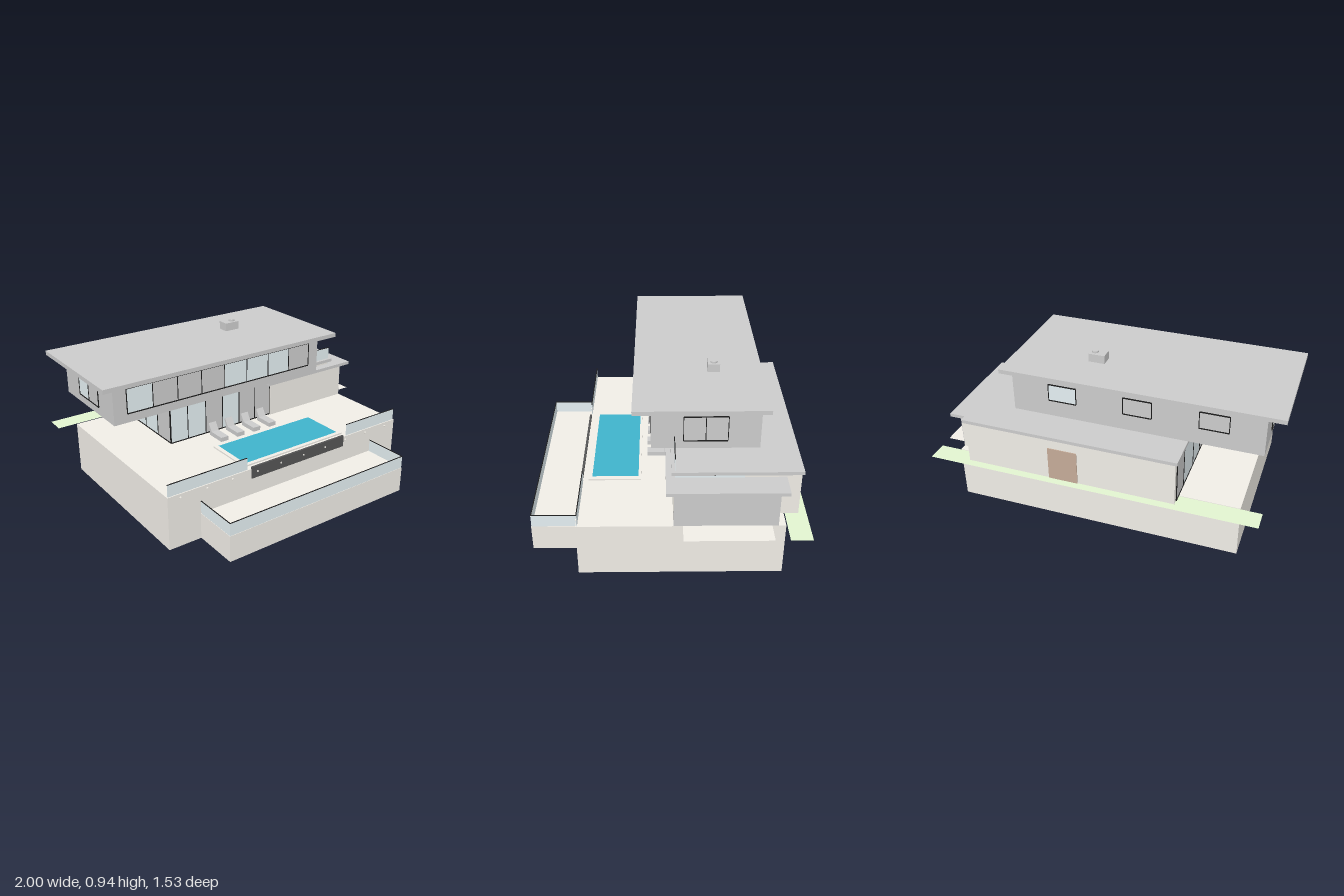
import * as THREE from 'three';

const mat = (color) => new THREE.MeshStandardMaterial({ color, side: THREE.DoubleSide });

export function createModel() {
  const house = new THREE.Group();
  house.name = 'house';
  const GREY = mat(0xcccccc), STONE = mat(0xf0ede6), DARK = mat(0x1c1c1c), CHARCOAL = mat(0x555555),
    GLASS = mat(0xe4eff2), GRASS = mat(0xe2f4cf), WATER = mat(0x3fb3cb), WOOD = mat(0xc4ab98);

  // Box given by its lower and upper limits on each axis
  function box(name, m, x0, x1, y0, y1, z0, z1, parent = house) {
    const g = new THREE.BoxGeometry(x1 - x0, y1 - y0, z1 - z0);
    const mesh = new THREE.Mesh(g, m);
    mesh.position.set((x0 + x1) / 2, (y0 + y1) / 2, (z0 + z1) / 2);
    mesh.name = name;
    parent.add(mesh);
    return mesh;
  }
  // Flat horizontal sheet
  function sheet(name, m, x0, x1, y, z0, z1) {
    const mesh = new THREE.Mesh(new THREE.PlaneGeometry(x1 - x0, z1 - z0).rotateX(-Math.PI / 2), m);
    mesh.position.set((x0 + x1) / 2, y, (z0 + z1) / 2);
    mesh.name = name;
    house.add(mesh);
  }
  // Drops whole faces of a box (order: +x -x +y -y +z -z)
  function openFaces(mesh, faces) {
    const idx = Array.from(mesh.geometry.index.array);
    mesh.geometry.setIndex(idx.filter((_, i) => !faces.includes(Math.floor(i / 6))));
  }

  // Row of panes with dark frames, built in the xy plane facing +z, from x = 0
  function windowRow(name, widths, height, panes) {
    const g = new THREE.Group();
    g.name = name;
    const t = 0.004, total = widths.reduce((a, b) => a + b, 0);
    let x = 0;
    widths.forEach((w, i) => {
      box('pane', panes[i] ? GLASS : GREY, x, x + w, 0, height, 0, 0.002, g);
      box('mullion', DARK, x - t / 2, x + t / 2, 0, height, 0, 0.005, g);
      x += w;
    });
    box('endFrame', DARK, total - t / 2, total + t / 2, 0, height, 0, 0.005, g);
    box('sill', DARK, 0, total, -t, t / 2, 0, 0.005, g);
    box('head', DARK, 0, total, height - t / 2, height + t, 0, 0.005, g);
    house.add(g);
    return g;
  }
  // Glass balustrade with a slim rail
  function balustrade(x0, x1, y0, y1, z0, z1) {
    const g = new THREE.Group();
    g.name = 'balustrade';
    box('glassPanel', GLASS, x0, x1, y0, y1, z0, z1, g);
    box('rail', DARK, x0 - 0.001, x1 + 0.001, y1, y1 + 0.003, z0 - 0.001, z1 + 0.001, g);
    house.add(g);
  }

  // Hollow podium and lower terrace, open underneath
  openFaces(box('podium', STONE, -0.82, 0.875, 0, 0.325, -0.645, 0.485), [3]);
  openFaces(box('lowerTerrace', STONE, -0.615, 0.67, 0, 0.16, 0.485, 0.765), [3, 5]);
  sheet('lawn', GRASS, -0.94, 1, 0.326, -0.77, -0.65);
  sheet('driveway', STONE, 0.79, 1, 0.327, -0.57, -0.09);

  // Balustrades
  balustrade(-0.815, -0.295, 0.325, 0.397, 0.476, 0.479);
  balustrade(0.46, 0.87, 0.325, 0.397, 0.476, 0.479);
  balustrade(-0.613, 0.668, 0.16, 0.235, 0.76, 0.763);
  for (const x of [-0.613, 0.665]) balustrade(x, x + 0.003, 0.16, 0.235, 0.487, 0.763);
  balustrade(0.555, 0.77, 0.61, 0.684, -0.052, -0.049);

  // Pool: rim, water and dark overflow wall
  box('poolRim', STONE, -0.295, 0.455, 0.325, 0.334, 0.14, 0.447);
  sheet('poolWater', WATER, -0.27, 0.43, 0.336, 0.155, 0.425);
  box('poolFront', CHARCOAL, -0.27, 0.43, 0.265, 0.337, 0.478, 0.491);

  // Small lamps along the podium wall
  for (let i = 0; i < 10; i++) {
    const lamp = new THREE.Mesh(new THREE.CylinderGeometry(0.006, 0.006, 0.01, 10).rotateX(Math.PI / 2), STONE);
    lamp.position.set(-0.74 + i * 0.17, 0.303, 0.489);
    lamp.name = 'wallLamp';
    house.add(lamp);
  }

  // Sun loungers with a raised back
  for (let i = 0; i < 4; i++) {
    const x = -0.19 + i * 0.122;
    const s = new THREE.Shape([[0.105, 0.325], [0.105, 0.352], [0.0, 0.352], [-0.03, 0.4], [-0.04, 0.395],
      [-0.02, 0.352], [-0.02, 0.325]].map(([z, y]) => new THREE.Vector2(-z, y)));
    const geo = new THREE.ExtrudeGeometry(s, { depth: 0.052, bevelEnabled: false });
    const lounger = new THREE.Mesh(geo.rotateY(Math.PI / 2), GREY);
    lounger.position.x = x - 0.026;
    lounger.name = 'lounger';
    house.add(lounger);
  }

  // Ground floor with its slab roof
  box('groundFloor', STONE, -0.473, 0.77, 0.325, 0.59, -0.725, -0.052);
  box('groundFloorRoof', GREY, -0.485, 0.785, 0.59, 0.61, -0.735, -0.03);
  windowRow('frontSlidingDoors', [0.12, 0.13, 0.125, 0.125, 0.125, 0.12], 0.252, [1, 1, 0, 1, 0, 0])
    .position.set(-0.475, 0.33, -0.052);
  const side = windowRow('sideSlidingDoors', [0.14, 0.2, 0.15, 0.15], 0.252, [0, 1, 1, 0]);
  side.rotation.y = -Math.PI / 2;
  side.position.set(-0.473, 0.33, -0.695);
  box('highWindow', GLASS, 0.768, 0.773, 0.57, 0.582, -0.42, -0.05);
  box('highWindowFrame', DARK, 0.768, 0.774, 0.582, 0.587, -0.42, -0.05);
  box('backDoor', WOOD, 0.09, 0.263, 0.327, 0.53, -0.73, -0.72);

  // Garage wing: stone front, grey side
  box('garage', STONE, 0.27, 0.872, 0.325, 0.55, -0.605, -0.04);
  box('garageSide', GREY, 0.871, 0.875, 0.325, 0.55, -0.604, -0.041);
  box('garageRoof', GREY, 0.23, 0.915, 0.55, 0.57, -0.645, 0);

  // Upper floor and main roof
  box('upperFloor', GREY, -0.9, 0.55, 0.61, 0.855, -0.525, 0.08);
  box('mainRoof', GREY, -1, 0.61, 0.855, 0.88, -0.568, 0.18);
  windowRow('upperFrontWindows', Array(8).fill(0.1615), 0.146, [1, 0, 0, 0, 1, 1, 1, 0])
    .position.set(-0.818, 0.665, 0.08);
  for (const s of [1, -1]) {
    const w = windowRow('upperSideWindow', [0.1225, 0.1225], 0.15, [s < 0, 0]);
    w.rotation.y = s * Math.PI / 2;
    w.position.set(s > 0 ? 0.55 : -0.9, 0.66, s > 0 ? -0.1 : -0.345);
  }
  [0.33, -0.11, -0.54].forEach((x, i) => {
    const w = windowRow('upperBackWindow', [0.165], 0.1, [i === 0]);
    w.rotation.y = Math.PI;
    w.position.set(x, 0.712, -0.525);
  });

  // Lamps under the roof overhang
  for (let i = 0; i < 9; i++) {
    const lamp = new THREE.Mesh(new THREE.CylinderGeometry(0.01, 0.01, 0.008, 10), CHARCOAL);
    lamp.position.set(-0.82 + i * 0.161, 0.852, 0.13);
    lamp.name = 'eavesLamp';
    house.add(lamp);
  }

  // Chimney with a short flue
  box('chimney', GREY, 0.07, 0.167, 0.88, 0.93, -0.32, -0.25);
  const flue = new THREE.Mesh(new THREE.CylinderGeometry(0.02, 0.02, 0.012, 20), GREY);
  flue.position.set(0.137, 0.935, -0.285);
  flue.name = 'flue';
  house.add(flue);

  return house;
}
